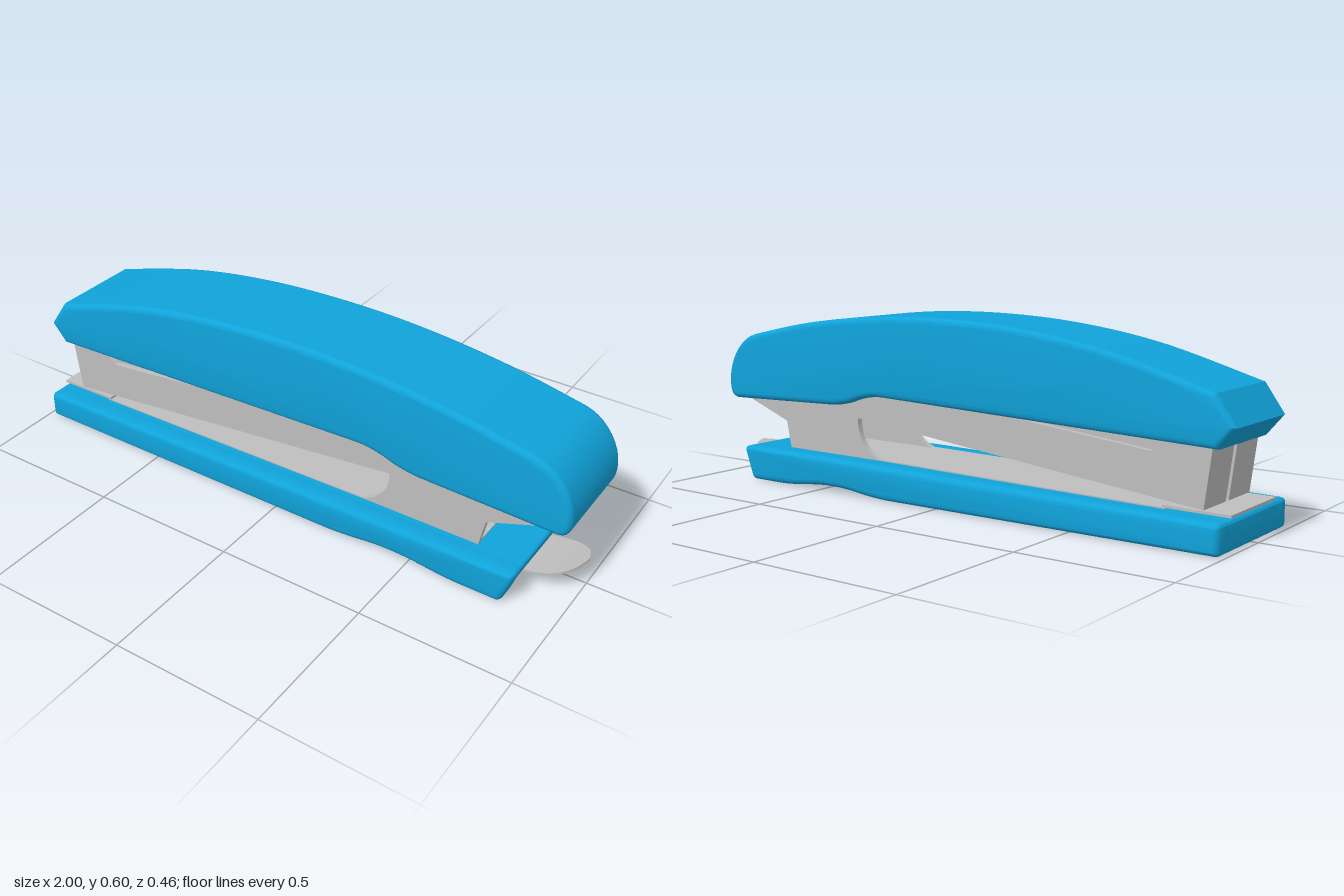
import * as THREE from 'three';
import { toCreasedNormals } from 'three/addons/utils/BufferGeometryUtils.js';

const blue = new THREE.MeshStandardMaterial({ color: 0x10a3da });
blue.name = 'blue plastic';
const steel = new THREE.MeshStandardMaterial({ color: 0xbebebe });
steel.name = 'grey steel';

const V = (pts) => pts.map(([x, y]) => new THREE.Vector2(x, y));
const poly = (pts) => new THREE.Shape(V(pts));

// Side profile extruded between two z values, with optional rounded edges
function slab(name, shape, z0, z1, material, bevel = 0) {
  const geo = new THREE.ExtrudeGeometry(shape, {
    depth: z1 - z0 - 2 * bevel,
    bevelEnabled: bevel > 0,
    bevelThickness: bevel,
    bevelSize: bevel,
    bevelOffset: -bevel,
    bevelSegments: 4,
    curveSegments: 10,
  });
  geo.translate(0, 0, z0 + bevel);
  const mesh = new THREE.Mesh(toCreasedNormals(geo, 0.5), material);
  mesh.name = name;
  return mesh;
}

// The same slab on both sides of the model
function pair(name, shape, z0, z1, material, bevel) {
  return [
    slab(name + 'Left', shape, -z1, -z0, material, bevel),
    slab(name + 'Right', shape, z0, z1, material, bevel),
  ];
}

// Domed cover outline, ending at the rear lower lip
function coverOutline() {
  const s = new THREE.Shape();
  s.moveTo(-0.945, 0.285);
  s.lineTo(-1, 0.35);
  s.lineTo(-0.935, 0.442);
  s.splineThru(V([[-0.6, 0.535], [-0.3, 0.583], [0, 0.601], [0.3, 0.594], [0.6, 0.56], [0.86, 0.508]]));
  s.bezierCurveTo(0.94, 0.49, 0.995, 0.4, 0.988, 0.32);
  s.quadraticCurveTo(0.985, 0.274, 0.95, 0.273);
  return s;
}

function createCover() {
  const g = new THREE.Group();
  g.name = 'topCover';
  const side = coverOutline();
  side.lineTo(0.49, 0.285);
  side.quadraticCurveTo(0.44, 0.29, 0.4, 0.302);
  side.quadraticCurveTo(0.33, 0.33, 0.27, 0.328);
  // Hollow middle: roof with front and rear lips
  const roof = coverOutline();
  for (const [x, y] of [[0.94, 0.3], [0.94, 0.38], [0.83, 0.465], [0.5, 0.53], [0, 0.56],
    [-0.4, 0.53], [-0.89, 0.41], [-0.915, 0.286]]) roof.lineTo(x, y);
  g.add(...pair('coverSide', side, 0.132, 0.174, blue, 0.02));
  g.add(slab('coverRoof', roof, -0.154, 0.154, blue));
  return g;
}

function createBase() {
  const g = new THREE.Group();
  g.name = 'base';
  // Base outline with a shallow finger arch; the middle part has a rear notch
  const outline = (notched) => {
    const s = new THREE.Shape();
    s.moveTo(-0.97, 0);
    s.lineTo(0.2, 0);
    s.bezierCurveTo(0.33, 0.004, 0.34, 0.018, 0.44, 0.018);
    s.bezierCurveTo(0.54, 0.018, 0.58, 0.002, 0.68, 0);
    if (notched) {
      s.lineTo(0.7, 0);
      s.lineTo(0.7, 0.048);
      s.lineTo(0.834, 0.048);
    } else {
      s.lineTo(0.805, 0);
      s.quadraticCurveTo(0.82, 0, 0.826, 0.02);
    }
    s.lineTo(0.855, 0.1);
    s.quadraticCurveTo(0.858, 0.116, 0.84, 0.116);
    s.lineTo(0.3, 0.113);
    s.lineTo(-0.965, 0.092);
    s.quadraticCurveTo(-0.985, 0.092, -0.985, 0.077);
    s.lineTo(-0.985, 0.015);
    s.quadraticCurveTo(-0.985, 0, -0.97, 0);
    return s;
  };
  g.add(...pair('baseSide', outline(false), 0.148, 0.232, blue, 0.02));
  g.add(slab('baseMiddle', outline(true), -0.17, 0.17, blue));
  // Steel floor strip and front anvil
  g.add(slab('floorPlate', poly([[-0.78, 0.09], [0.3, 0.108], [0.7, 0.11], [0.7, 0.119],
    [0.3, 0.117], [-0.78, 0.099]]), -0.15, 0.15, steel));
  g.add(slab('anvil', poly([[-0.985, 0.097], [-0.77, 0.099], [-0.77, 0.107], [-0.985, 0.105]]),
    -0.15, 0.15, steel));
  return g;
}

function createMagazine() {
  const g = new THREE.Group();
  g.name = 'magazine';
  // Frame plates: long staple rail, curved cutaway and rear hinge ears
  const plate = new THREE.Shape();
  plate.moveTo(-0.925, 0.3);
  plate.lineTo(-0.9, 0.108);
  plate.lineTo(0.385, 0.248);
  plate.bezierCurveTo(0.385, 0.18, 0.35, 0.125, 0.27, 0.112);
  for (const [x, y] of [[0.7, 0.112], [0.72, 0.208], [0.91, 0.278], [0.91, 0.33],
    [0.2, 0.345], [-0.2, 0.315], [-0.73, 0.258], [-0.785, 0.3]]) plate.lineTo(x, y);
  g.add(...pair('framePlate', plate, 0.13, 0.15, steel));
  g.add(slab('stapleRail', poly([[-0.895, 0.36], [-0.88, 0.113], [0.385, 0.251], [0.5, 0.3],
    [0.5, 0.36]]), -0.131, 0.131, steel));
  // Folded front ends leaving a narrow slot
  g.add(...pair('frontFold', poly([[-0.925, 0.3], [-0.9, 0.108], [-0.87, 0.111], [-0.89, 0.3]]),
    0.01, 0.131, steel));
  // Rear cross panel and hinge pin
  g.add(slab('rearPanel', poly([[0.72, 0.208], [0.91, 0.278], [0.91, 0.29], [0.715, 0.22]]),
    -0.131, 0.131, steel));
  const pin = new THREE.Mesh(new THREE.CylinderGeometry(0.02, 0.02, 0.27, 20), steel);
  pin.name = 'hingePin';
  pin.rotation.x = Math.PI / 2;
  pin.position.set(0.84, 0.31, 0);
  g.add(pin);
  return g;
}

// Thin upturned release tab with a rounded tip
function createTab() {
  const geo = new THREE.BoxGeometry(1, 0.008, 1, 20, 1, 10);
  const p = geo.attributes.position;
  for (let i = 0; i < p.count; i++) {
    const u = p.getX(i) + 0.5;
    const t = Math.max(0, (u - 0.55) / 0.45);
    const width = 0.2 * Math.sqrt(Math.max(0.004, 1 - t * t));
    p.setXYZ(i, 0.7 + 0.298 * u, 0.034 + 0.057 * u ** 2.5 + p.getY(i), p.getZ(i) * width);
  }
  geo.computeVertexNormals();
  const tab = new THREE.Mesh(geo, steel);
  tab.name = 'releaseTab';
  return tab;
}

export function createModel() {
  const model = new THREE.Group();
  model.name = 'stapler';
  model.add(createCover(), createBase(), createMagazine(), createTab());
  return model;
}
